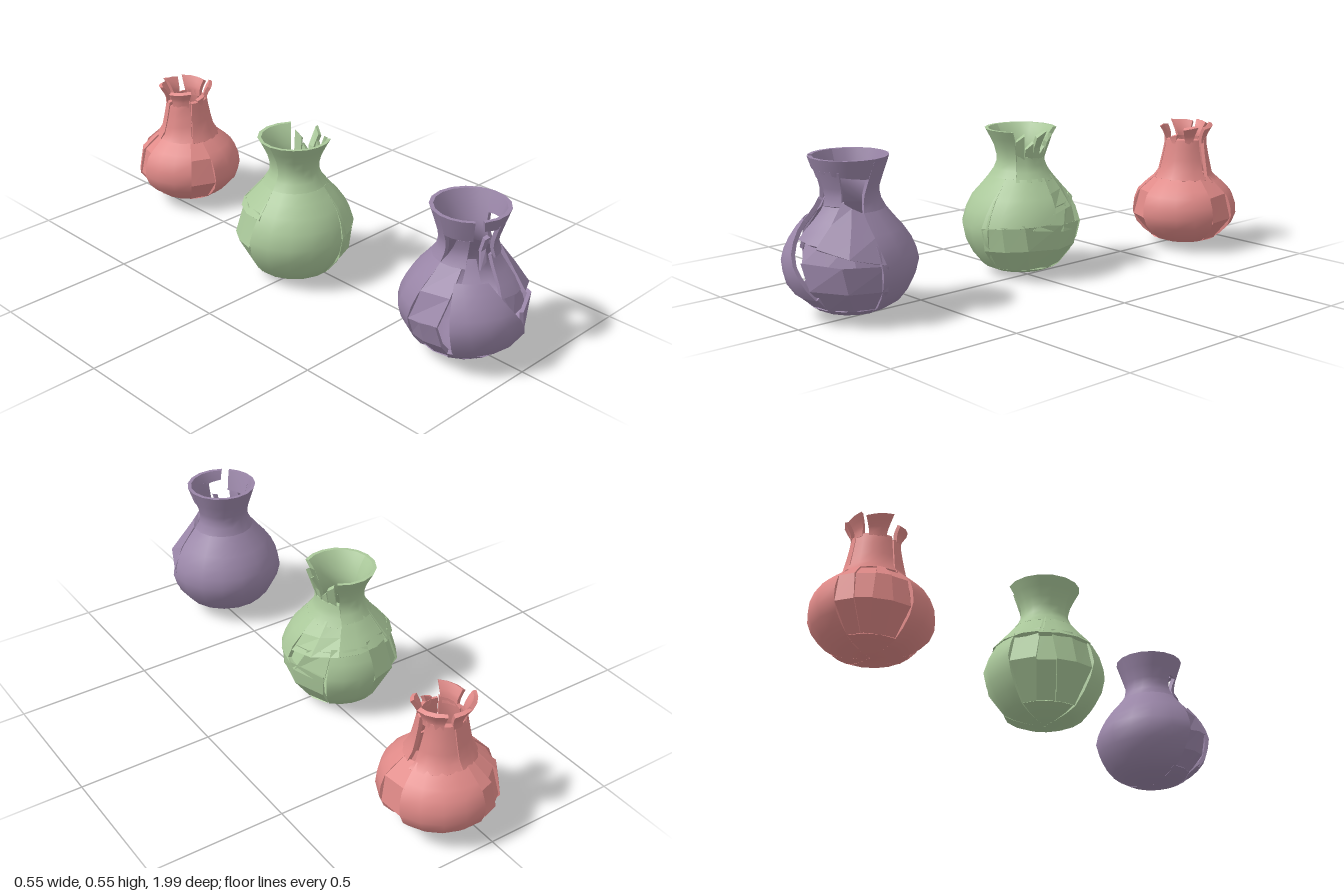
import * as THREE from 'three';
import { toCreasedNormals } from 'three/addons/utils/BufferGeometryUtils.js';

const WALL = 0.015;
const RAD = Math.PI / 180;

// Point on a profile of [radius, height] at row s, moved in by depth along the wall normal
function profilePoint(profile, s, depth) {
  const i = Math.min(Math.floor(s), profile.length - 2), f = s - i;
  const [r0, y0] = profile[i], [r1, y1] = profile[i + 1];
  const len = Math.hypot(r1 - r0, y1 - y0);
  const r = r0 + (r1 - r0) * f - depth * (y1 - y0) / len;
  const y = y0 + (y1 - y0) * f + depth * (r1 - r0) / len;
  return [Math.max(r, 0.002), THREE.MathUtils.clamp(y, profile[0][1], profile.at(-1)[1])];
}

function rowAt(profile, y) {
  for (let i = 0; i < profile.length - 1; i++) {
    const a = profile[i][1], b = profile[i + 1][1];
    if (y <= b) return i + Math.max(0, (y - a) / (b - a));
  }
  return profile.length - 1;
}

// Thick four-cornered shard of the wall. Corners are [degrees from front, height]:
// bottom left, bottom right, top right, top left as seen from outside.
function shardGeometry(profile, corners, { flat = false, push = 0 } = {}) {
  const c = corners.map(([a, y]) => [a * RAD, rowAt(profile, y)]);
  const span = Math.max(c[1][0] - c[0][0], c[2][0] - c[3][0]) / RAD;
  const rows = Math.max(c[2][1], c[3][1]) - Math.min(c[0][1], c[1][1]);
  const nu = Math.max(1, Math.ceil(span / (flat ? 40 : 24) - 0.01));
  const nv = Math.max(1, Math.ceil(rows * (flat ? 0.5 : 1.5)));
  const point = (i, j, depth) => {
    const u = i / nu, v = j / nv;
    const mix = (k) => (c[0][k] * (1 - u) + c[1][k] * u) * (1 - v) + (c[3][k] * (1 - u) + c[2][k] * u) * v;
    const [r, y] = profilePoint(profile, mix(1), depth);
    const a = mix(0);
    return [Math.sin(a) * (r + push), y, Math.cos(a) * (r + push)];
  };
  const pos = [];
  const quad = (p, q, r, s) => pos.push(...p, ...q, ...r, ...p, ...r, ...s);
  const O = (i, j) => point(i, j, 0), I = (i, j) => point(i, j, WALL);
  for (let i = 0; i < nu; i++) {
    for (let j = 0; j < nv; j++) {
      quad(O(i, j), O(i + 1, j), O(i + 1, j + 1), O(i, j + 1));
      quad(I(i, j), I(i, j + 1), I(i + 1, j + 1), I(i + 1, j));
    }
    quad(I(i, 0), I(i + 1, 0), O(i + 1, 0), O(i, 0));
    quad(O(i, nv), O(i + 1, nv), I(i + 1, nv), I(i, nv));
  }
  for (let j = 0; j < nv; j++) {
    quad(I(0, j), O(0, j), O(0, j + 1), I(0, j + 1));
    quad(O(nu, j), I(nu, j), I(nu, j + 1), O(nu, j + 1));
  }
  const g = new THREE.BufferGeometry();
  g.setAttribute('position', new THREE.Float32BufferAttribute(pos, 3));
  return toCreasedNormals(g, flat ? 0.1 : 0.75);
}

function vase(name, color, x, z, profile, shards) {
  const group = new THREE.Group();
  group.name = name;
  group.position.set(x, 0, z);
  const material = new THREE.MeshStandardMaterial({ color, side: THREE.DoubleSide });
  for (const [part, corners, options] of shards) {
    const mesh = new THREE.Mesh(shardGeometry(profile, corners, options), material);
    mesh.name = part;
    group.add(mesh);
  }
  return group;
}

// Shard with level top and bottom
const band = (a, b, y0, y1) => [[a, y0], [b, y0], [b, y1], [a, y1]];
const flat = (push = 0) => ({ flat: true, push });

// Row of upright flat splinters sharing slanted edges, each edge [bottom angle, top angle]
const splinters = (edges, y0, tops) => tops.map((top, i) => {
  const [a, b] = edges[i], [c, d] = edges[i + 1];
  return ['backSplinter', [[a, y0], [c, y0], [d, top], [b, top]], flat(i % 2 ? -0.006 : 0.002)];
});

export function createModel() {
  const model = new THREE.Group();
  model.name = 'brokenVases';

  // Front vase: whole at the back, split open at the front
  model.add(vase('purpleVase', 0x9a86a8, -0.028, 0.767,
    [[0.003, 0.015], [0.1, 0.022], [0.165, 0.06], [0.21, 0.12], [0.228, 0.19], [0.211, 0.25],
      [0.17, 0.31], [0.125, 0.36], [0.098, 0.41], [0.103, 0.45], [0.135, 0.545]], [
      ['base', band(-115, 88, 0.015, 0.05)],
      ['backBody', [[88, 0.015], [245, 0.015], [262, 0.37], [78, 0.37]]],
      ['leftLowerShard', [[245, 0.05], [294, 0.05], [284, 0.2], [253, 0.18]], flat(-0.004)],
      ['leftUpperShard', [[253, 0.18], [286, 0.2], [300, 0.37], [262, 0.37]], flat(0)],
      ['frontShard', [[-60, 0.08], [20, 0.095], [-24, 0.335], [-66, 0.335]], { push: 0.006 }],
      ['frontFootLeft', [[-70, 0.045], [-28, 0.03], [-28, 0.075], [-66, 0.09]], flat(0.004)],
      ['frontFootRight', [[-28, 0.03], [22, 0.04], [22, 0.1], [-28, 0.075]], flat(0.004)],
      ['lowerRightShard', [[24, 0.05], [90, 0.05], [88, 0.21], [8, 0.22]], flat()],
      ['dentedShard', [[2, 0.21], [90, 0.19], [86, 0.29], [-6, 0.28]], flat(-0.025)],
      ['upperRightShard', [[22, 0.27], [86, 0.215], [76, 0.37], [42, 0.405]], flat(0.004)],
      ['shoulderShard', [[-12, 0.28], [32, 0.27], [45, 0.405], [0, 0.4]], { push: -0.008 }],
      ['backNeck', [[78, 0.37], [262, 0.37], [262, 0.545], [95, 0.545]]],
      ['leftRim', band(262, 316, 0.465, 0.545)],
      ['leftNeck', [[262, 0.37], [306, 0.37], [311, 0.465], [288, 0.465]]],
      ['leftNeckStrip', [[-58, 0.32], [-32, 0.32], [-36, 0.4], [-52, 0.4]]],
      ['frontNeckStrip', [[4, 0.39], [42, 0.39], [40, 0.505], [0, 0.505]]],
      ['frontRim', [[-28, 0.505], [95, 0.475], [95, 0.545], [-31, 0.545]]],
      ['innerSplinter', [[-28, 0.36], [-14, 0.38], [-4, 0.46], [-16, 0.455]], flat(-0.015)],
    ]));

  // Middle vase: smooth front, flat shards low and behind, chipped rim
  const green = [
    ['frontBody', [[-100, 0], [8, 0], [20, 0.37], [-85, 0.37]]],
    ['base', band(8, 128, 0, 0.037)],
    ['backBase', band(185, 260, 0, 0.037)],
    ['rightBody', [[8, 0.2], [85, 0.22], [95, 0.37], [20, 0.37]]],
    ['backRightBody', [[128, 0], [185, 0], [180, 0.3], [136, 0.3]]],
    ['lowerRightShard', [[8, 0.037], [60, 0.037], [52, 0.22], [8, 0.2]], flat()],
    ['lowerSideShard', [[60, 0.037], [128, 0.037], [130, 0.2], [52, 0.22]], flat(-0.003)],
    ['sideSplinter', [[60, 0.2], [130, 0.17], [136, 0.29], [82, 0.27]], flat(-0.006)],
    ['rightShoulder', [[84, 0.25], [145, 0.28], [150, 0.38], [95, 0.37]], flat()],
    ['backShoulder', [[145, 0.28], [215, 0.29], [220, 0.39], [150, 0.39]]],
    ['leftShoulder', [[210, 0.28], [275, 0.28], [275, 0.39], [215, 0.39]]],
    ['frontNeck', [[-85, 0.37], [40, 0.37], [35, 0.545], [-85, 0.545]]],
    ['rightNeck', [[40, 0.36], [150, 0.36], [145, 0.43], [40, 0.45]]],
    ['backNeck', [[150, 0.37], [275, 0.37], [275, 0.545], [142, 0.545]]],
    ...splinters([[185, 180], [205, 212], [232, 224], [262, 272]], 0.037, [0.31, 0.3, 0.3]),
  ];
  // Crumbled pieces in the gap of the rim
  [0.53, 0.5, 0.545, 0.48, 0.52].forEach((top, i) => {
    const a = 38 + i * 20;
    green.push(['rimChip', [[a, 0.44], [a + 20, 0.425], [a + 17, top], [a + 1, top - 0.025]], flat(-0.003)]);
  });
  model.add(vase('greenVase', 0xabc99b, -0.06, -0.021,
    [[0.003, 0], [0.09, 0.012], [0.145, 0.037], [0.203, 0.11], [0.222, 0.195], [0.195, 0.28],
      [0.142, 0.34], [0.102, 0.39], [0.086, 0.43], [0.1, 0.485], [0.133, 0.545]], green));

  // Rear vase: squat body, narrow neck, rim broken into petals
  const red = [
    ['frontBody', [[-5, 0.013], [78, 0.013], [72, 0.292], [-12, 0.292]]],
    ['base', band(78, 112, 0.013, 0.037)],
    ['frontBase', band(-40, -5, 0.013, 0.037)],
    ['backBase', band(190, 262, 0.013, 0.037)],
    ['frontLeftShard', [[-40, 0.037], [-5, 0.037], [-12, 0.292], [-35, 0.292]], flat()],
    ['rightShard', [[78, 0.037], [112, 0.037], [100, 0.29], [72, 0.28]], flat()],
    ['backBody', [[112, 0.013], [190, 0.013], [188, 0.29], [100, 0.29]]],
    ['leftBody', [[262, 0.013], [320, 0.013], [325, 0.292], [262, 0.292]]],
    ['frontNeck', [[-30, 0.28], [84, 0.28], [80, 0.435], [-25, 0.435]]],
    ['rightNeck', [[94, 0.27], [176, 0.28], [170, 0.43], [103, 0.44]]],
    ['backNeck', [[178, 0.28], [258, 0.28], [264, 0.43], [172, 0.43]]],
    ['leftNeck', [[260, 0.28], [328, 0.28], [332, 0.44], [268, 0.42]]],
    ...splinters([[190, 188], [210, 203], [222, 228], [244, 240], [262, 262]], 0.037, [0.285, 0.295, 0.285, 0.29]),
  ];
  // Rim petals: start angle, width, top height
  for (const [a, w, top] of [[-84, 56, 0.485], [-8, 26, 0.455], [36, 32, 0.49], [88, 62, 0.49], [162, 34, 0.495], [204, 50, 0.495]]) {
    red.push(['rimPetal', [[a + 4, 0.42], [a + w - 6, 0.42], [a + w, top], [a, top - 0.012]]]);
  }
  model.add(vase('redVase', 0xe08a88, 0.071, -0.793,
    [[0.003, 0.013], [0.075, 0.018], [0.13, 0.037], [0.188, 0.085], [0.213, 0.15], [0.193, 0.215],
      [0.155, 0.255], [0.11, 0.292], [0.094, 0.36], [0.081, 0.43], [0.088, 0.455], [0.112, 0.495]], red));

  return model;
}
